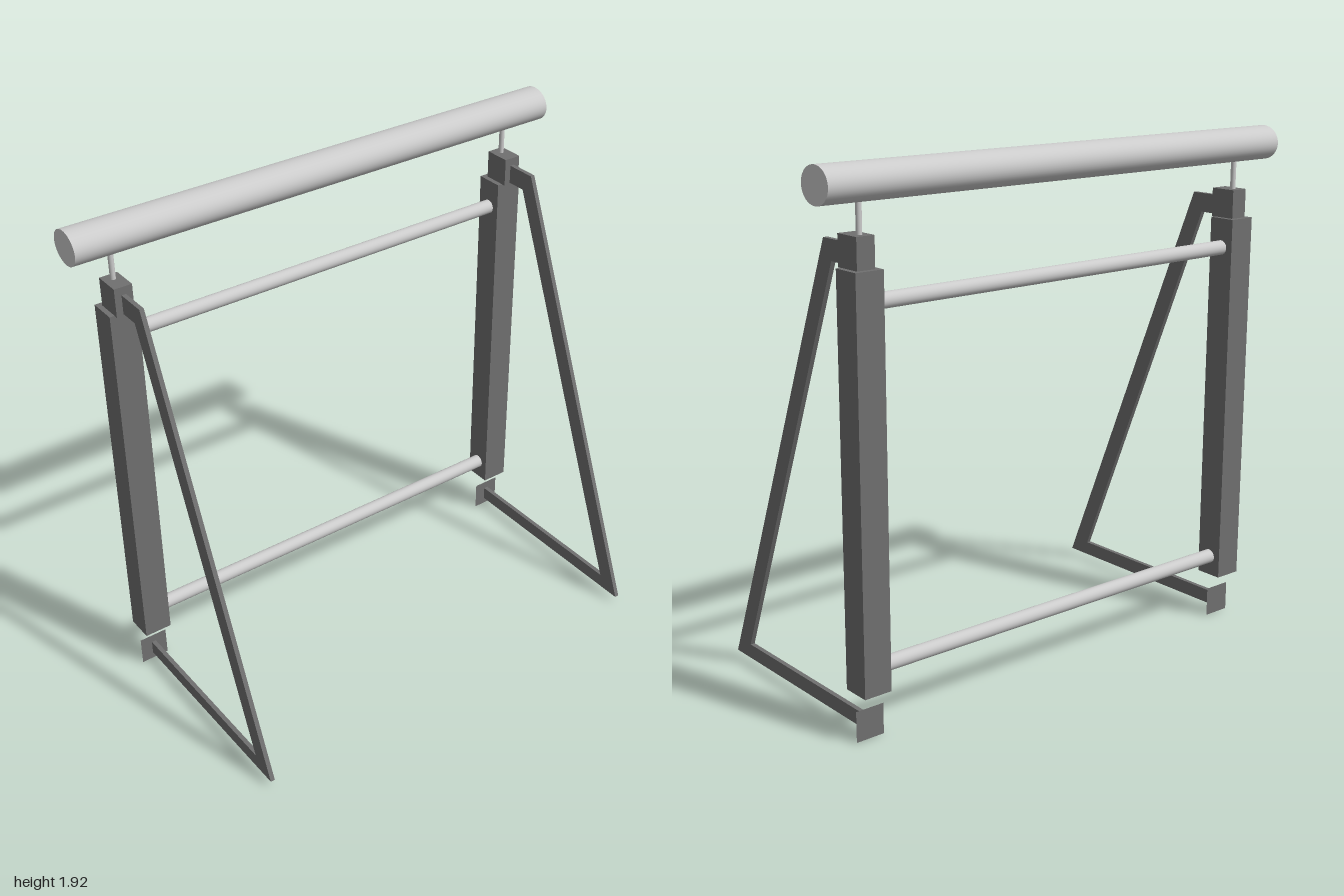
import * as THREE from 'three';

const POST_X = 0.843, POST_Z = -0.385;

export function createModel() {
  const model = new THREE.Group();
  model.name = 'rollerFrame';
  const light = new THREE.MeshStandardMaterial({ color: 0xcccccc });
  const dark = new THREE.MeshStandardMaterial({ color: 0x707070, side: THREE.DoubleSide });

  const add = (parent, name, geometry, material, x, y, z) => {
    const mesh = new THREE.Mesh(geometry, material);
    mesh.name = name;
    mesh.position.set(x, y, z);
    parent.add(mesh);
    return mesh;
  };

  // Padded roller: slightly oval section along x
  const rollerGeo = new THREE.CylinderGeometry(1, 1, 2, 48).rotateZ(Math.PI / 2).scale(1, 0.0625, 0.073);
  add(model, 'roller', rollerGeo, light, 0, 1.855, -0.386);

  // Cross rods between the posts
  const rodGeo = new THREE.CylinderGeometry(0.027, 0.027, 1.58, 32).rotateZ(Math.PI / 2);
  add(model, 'upperRod', rodGeo, light, 0, 1.477, POST_Z);
  add(model, 'lowerRod', rodGeo, light, 0, 0.25, POST_Z);

  // Bent flat-bar brace, outlined as (z, y) and extruded across x
  const outline = [
    [-0.385, 0.027], [0.458, 0.027], [-0.198, 1.662], [-0.32, 1.662],
    [-0.32, 1.591], [-0.241, 1.591], [0.363, 0.081], [-0.385, 0.081],
  ];
  const braceShape = new THREE.Shape(outline.map(([z, y]) => new THREE.Vector2(-z, y)));
  const braceGeo = new THREE.ExtrudeGeometry(braceShape, { depth: 0.017, bevelEnabled: false })
    .translate(0, 0, -0.0085)
    .rotateY(Math.PI / 2);

  // Mirrored side stands
  for (const [label, s] of [['left', 1], ['right', -1]]) {
    const stand = new THREE.Group();
    stand.name = label + 'Stand';
    stand.position.x = s * POST_X;
    model.add(stand);
    add(stand, 'post', new THREE.BoxGeometry(0.106, 1.412, 0.106), dark, 0, 0.88, POST_Z);
    add(stand, 'capBlock', new THREE.BoxGeometry(0.068, 0.107, 0.102), dark, 0, 1.6385, -0.368);
    add(stand, 'rollerPin', new THREE.CylinderGeometry(0.01, 0.01, 0.13, 20), light, 0, 1.75, POST_Z);
    add(stand, 'brace', braceGeo, dark, 0, 0, 0);
    add(stand, 'footPlate', new THREE.PlaneGeometry(0.11, 0.112), dark, 0, 0.056, -0.386);
  }
  return model;
}
